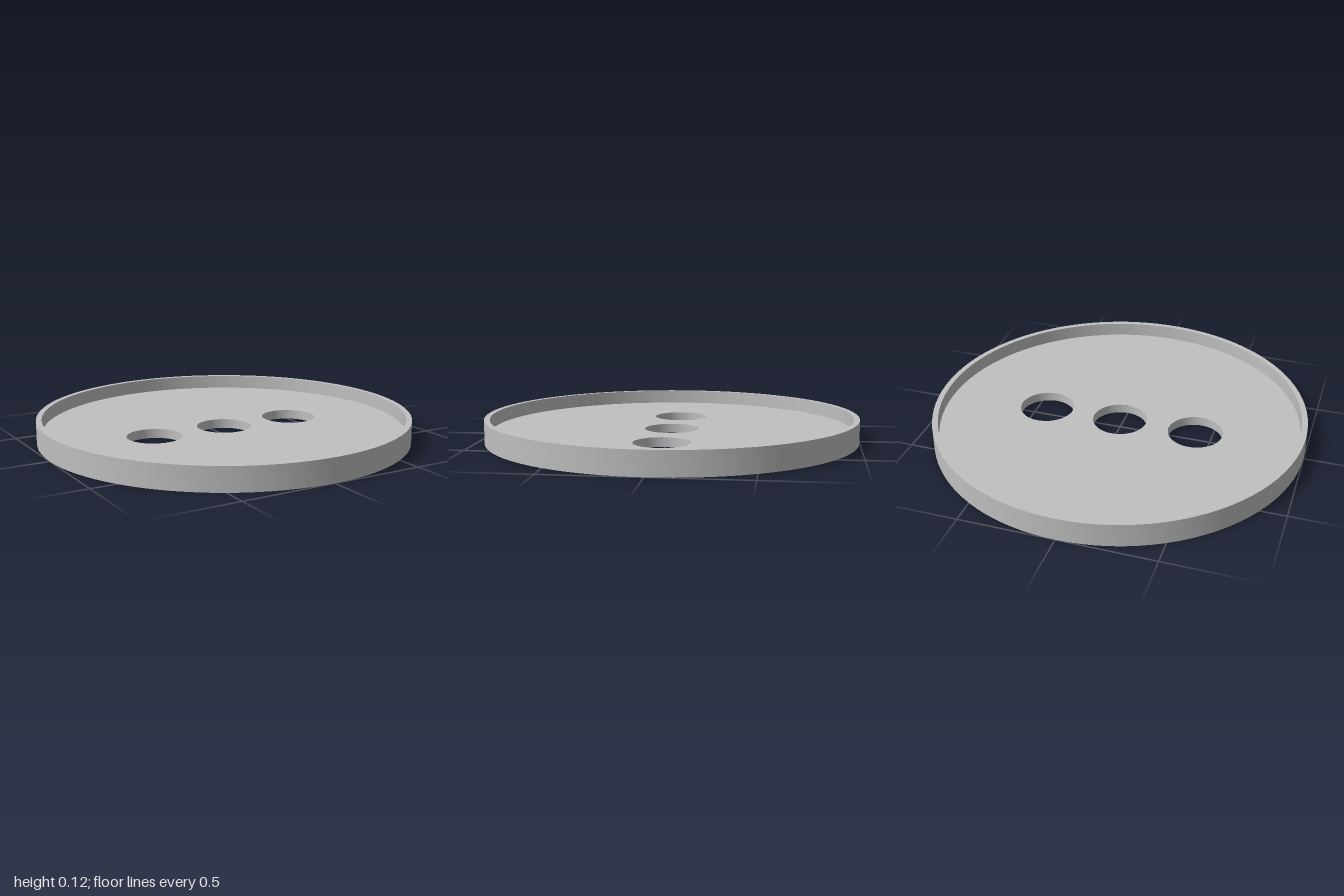
import * as THREE from 'three';
import { toCreasedNormals } from 'three/addons/utils/BufferGeometryUtils.js';

const SEGMENTS = 96;
const RADIUS = 1, INNER_RADIUS = 0.97, HEIGHT = 0.125, FLOOR = 0.05;
const HOLE_RADIUS = 0.146, HOLE_X = [-0.42, 0, 0.42];

export function createModel() {
  const group = new THREE.Group();
  group.name = 'tray';
  const grey = new THREE.MeshStandardMaterial({ color: 0xc0c0c0 });
  grey.name = 'grey';

  const add = (name, geometry, x = 0, y = 0) => {
    const mesh = new THREE.Mesh(geometry, grey);
    mesh.name = name;
    mesh.position.set(x, y, 0);
    group.add(mesh);
  };

  // Revolved wall with sharp corners; a rising profile faces outward
  const revolve = (profile) => toCreasedNormals(
    new THREE.LatheGeometry(profile.map(([r, y]) => new THREE.Vector2(r, y)), SEGMENTS), 0.6);

  // Flat disc pierced by the row of holes
  const piercedDisc = (radius) => {
    const shape = new THREE.Shape().absarc(0, 0, radius, 0, Math.PI * 2, false);
    for (const x of HOLE_X) {
      shape.holes.push(new THREE.Path().absarc(x, 0, HOLE_RADIUS, 0, Math.PI * 2, true));
    }
    return new THREE.ShapeGeometry(shape, SEGMENTS);
  };

  // Raised rim: outer wall, top lip and inner wall
  add('rim', revolve([[RADIUS, 0], [RADIUS, HEIGHT], [INNER_RADIUS, HEIGHT], [INNER_RADIUS, FLOOR]]));

  // Recessed floor and underside
  add('floor', piercedDisc(INNER_RADIUS).rotateX(-Math.PI / 2), 0, FLOOR);
  add('underside', piercedDisc(RADIUS).rotateX(Math.PI / 2));

  // Inward-facing walls of the three through holes
  const holeWall = revolve([[HOLE_RADIUS, FLOOR], [HOLE_RADIUS, 0]]);
  HOLE_X.forEach((x, i) => add(['rightHoleWall', 'centreHoleWall', 'leftHoleWall'][i], holeWall, x));

  return group;
}
